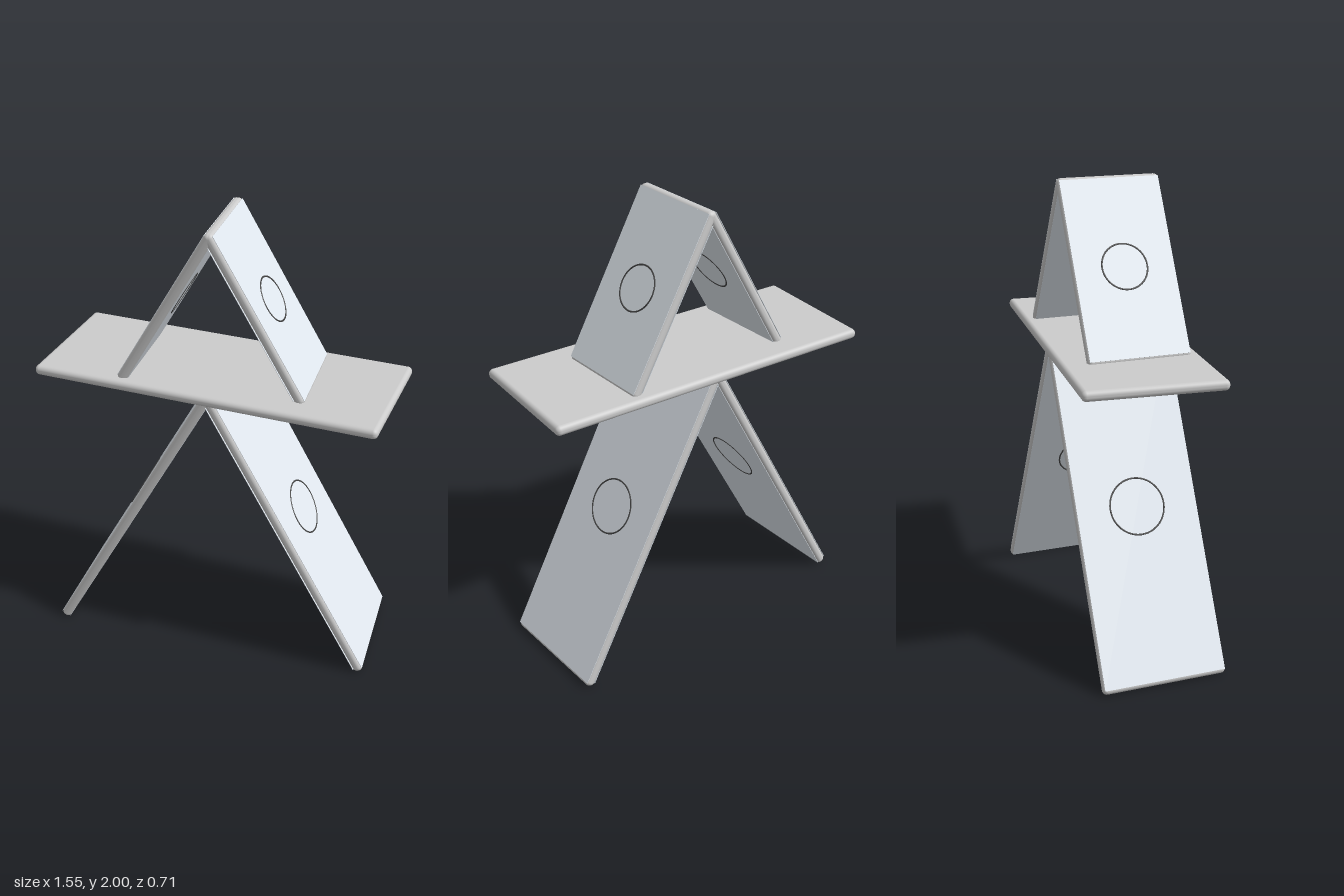
import * as THREE from 'three';
import { RoundedBoxGeometry } from 'three/addons/geometries/RoundedBoxGeometry.js';

const THICK = 0.044;
const grey = new THREE.MeshStandardMaterial({ color: 0xcccccc });
const pale = new THREE.MeshStandardMaterial({ color: 0xe2e9f0 });
const dark = new THREE.MeshStandardMaterial({ color: 0x444444 });

function addMesh(parent, name, geometry, material, x = 0) {
  const mesh = new THREE.Mesh(geometry, material);
  mesh.name = name;
  mesh.position.x = x;
  parent.add(mesh);
  return mesh;
}

// Upright card: faces along local x, length along y, width along z
function makeCard(name, length, width, ringRadius) {
  const card = new THREE.Group();
  card.name = name;
  addMesh(card, 'cardBody', new RoundedBoxGeometry(THICK, length, width, 4, 0.02), grey);
  for (const side of [-1, 1]) {
    const x = side * THICK / 2;
    // pale face sheet inside the rounded rim
    addMesh(card, 'cardFace', new THREE.BoxGeometry(0.002, length - 0.03, width - 0.012), pale, x);
    // thin circle marking on the face
    const ring = addMesh(card, 'faceRing', new THREE.TorusGeometry(ringRadius, 0.004, 8, 48), dark, x);
    ring.rotation.y = Math.PI / 2;
  }
  return card;
}

// Two cards leaning together at the top
function addPair(parent, name, { length, width, ring, x, y, lean }) {
  const pair = new THREE.Group();
  pair.name = name;
  for (const side of [-1, 1]) {
    const card = makeCard(side > 0 ? 'leftCard' : 'rightCard', length, width, ring);
    card.position.set(side * x, y, 0);
    card.rotation.z = side * lean;
    pair.add(card);
  }
  parent.add(pair);
}

export function createModel() {
  const model = new THREE.Group();
  model.name = 'cardTower';

  addPair(model, 'lowerPair', { length: 1.484, width: 0.545, ring: 0.12, x: 0.353, y: 0.655, lean: 0.502 });
  addPair(model, 'upperPair', { length: 0.8, width: 0.445, ring: 0.098, x: 0.191, y: 1.65, lean: Math.PI / 6 });

  // Flat card between the two pairs, turned slightly
  const deck = addMesh(model, 'flatCard', new RoundedBoxGeometry(1.51, THICK, 0.588, 4, 0.02), grey);
  deck.position.y = 1.297;
  deck.rotation.y = -0.087;

  return model;
}
